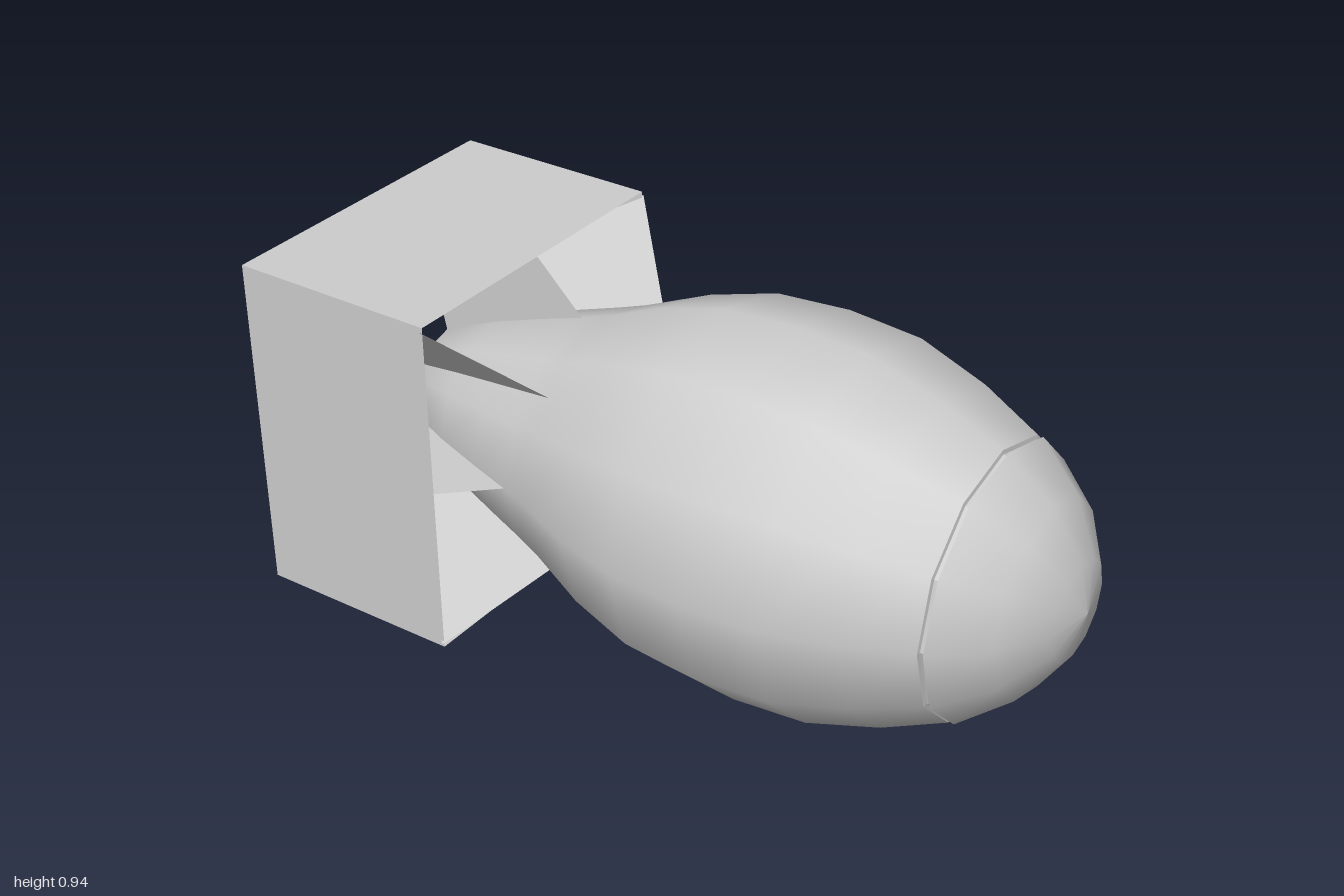
import * as THREE from 'three';

const AXIS_Y = 0.47;
const smooth = new THREE.MeshStandardMaterial({ color: 0xcccccc });
const flat = new THREE.MeshStandardMaterial({ color: 0xcccccc, flatShading: true });
const thin = new THREE.MeshStandardMaterial({ color: 0xcccccc, flatShading: true, side: THREE.DoubleSide });

// Turned part whose axis runs along x; profile is [x, radius] from tail to nose
function turned(name, profile, sides, material, phiStart = 0) {
  const points = profile.map(([x, r]) => new THREE.Vector2(r, x));
  const mesh = new THREE.Mesh(new THREE.LatheGeometry(points, sides, phiStart), material);
  mesh.geometry.rotateZ(-Math.PI / 2);
  mesh.name = name;
  return mesh;
}

// Flat plate lying in the plane of the axis; outline is [x, radius]
function fin(name, outline, angle) {
  const shape = new THREE.Shape(outline.map(([x, r]) => new THREE.Vector2(x, r)));
  const mesh = new THREE.Mesh(new THREE.ShapeGeometry(shape), thin);
  mesh.rotation.x = angle;
  mesh.name = name;
  return mesh;
}

export function createModel() {
  const model = new THREE.Group();
  const shell = new THREE.Group();
  shell.name = 'shell';
  shell.position.y = AXIS_Y;
  model.add(shell);

  // Teardrop body with a rounded tail end
  shell.add(turned('body', [
    [-0.8, 0], [-0.79, 0.08], [-0.75, 0.155], [-0.6, 0.22], [-0.46, 0.27], [-0.34, 0.31],
    [-0.27, 0.335], [-0.11, 0.405], [0.06, 0.455], [0.25, 0.468], [0.44, 0.455],
    [0.62, 0.4], [0.77, 0.332],
  ], 12, smooth));

  // Narrow seam and nose cap
  shell.add(turned('noseSeam', [[0.77, 0.332], [0.772, 0.322], [0.784, 0.322]], 12, flat));
  shell.add(turned('noseCap', [
    [0.782, 0.318], [0.784, 0.331], [0.9, 0.235], [0.975, 0.12], [1, 0],
  ], 12, smooth));

  // Square tail box, its inside narrowing to a waist
  const half = 0.436 * Math.SQRT2, waist = 0.265 * Math.SQRT2;
  const box = turned('tailBox', [
    [-1, half], [-0.46, half], [-0.77, waist], [-1, half],
  ], 4, flat, Math.PI / 4);
  box.geometry.scale(1, 1, 0.42 / 0.436);
  shell.add(box);

  // Eight fins, longer on the diagonals, joining body and box
  for (let i = 0; i < 8; i++) {
    const diagonal = i % 2 === 1;
    const k = diagonal ? Math.SQRT2 * 0.98 : 1;
    const tip = diagonal ? [-0.77, 0.265 * k] : [-0.79, 0.31];
    shell.add(fin(diagonal ? 'diagonalFin' : 'straightFin', [
      [-0.24, 0.215 * k], [-0.46, (i % 4 === 2 ? 0.42 : 0.434) * k], tip,
      [-0.74, 0.1], [-0.3, 0.1],
    ], i * Math.PI / 4));
  }
  return model;
}
